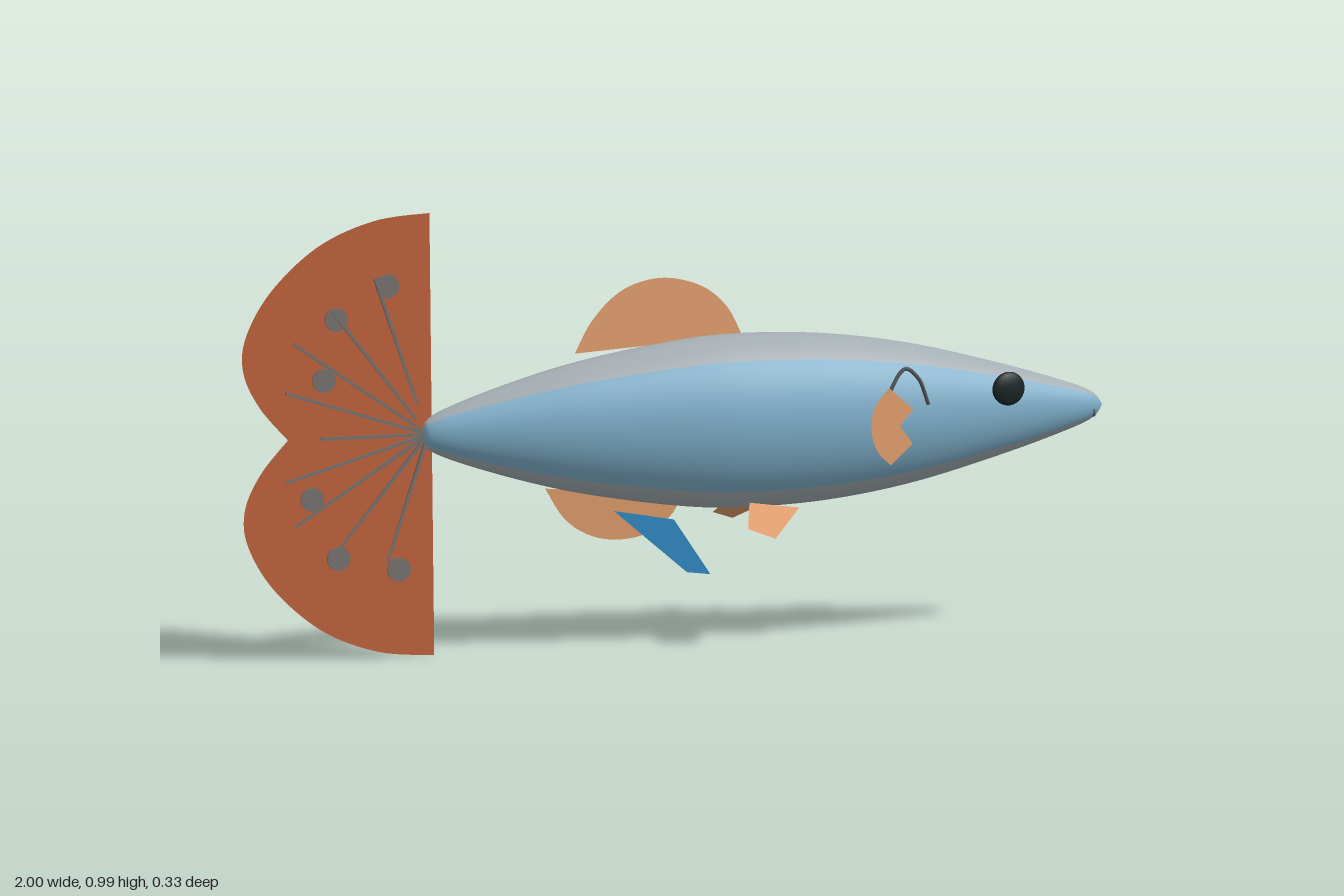
import * as THREE from 'three';

const paint = (name, color, side = THREE.FrontSide) => {
  const m = new THREE.MeshStandardMaterial({ color, side });
  m.name = name;
  return m;
};

export function createModel() {
  const grey = paint('silver grey', 0xa5aeb4);
  const blue = paint('flank blue', 0x7fb0cb);
  const rust = paint('rust', 0xc0603a, THREE.DoubleSide);
  const peach = paint('peach', 0xe09c6a, THREE.DoubleSide);
  const azure = paint('bright blue', 0x2f8ac4, THREE.DoubleSide);
  const black = paint('eye black', 0x1a2424);
  const ash = paint('ash', 0x77736f);
  const dark = paint('dark grey', 0x50565a);

  const fish = new THREE.Group();
  fish.name = 'fish';
  const add = (name, geometry, material, parent = fish) => {
    const mesh = new THREE.Mesh(geometry, material);
    mesh.name = name;
    parent.add(mesh);
    return mesh;
  };

  // Body: elliptical sections along a spindle profile, split into colour panels
  const CY = 0.495, K = 0.74;
  const profile = new THREE.SplineCurve([
    [-0.58, 0], [-0.572, 0.032], [-0.5, 0.066], [-0.35, 0.114], [-0.2, 0.151], [0, 0.184],
    [0.15, 0.195], [0.35, 0.187], [0.55, 0.157], [0.75, 0.106], [0.9, 0.06], [0.975, 0.03], [1, 0],
  ].map(([x, r]) => new THREE.Vector2(x, r)));

  function panel(low, high, steps) {
    const pos = [], nor = [], idx = [], rows = 96;
    for (let i = 0; i <= rows; i++) {
      const p = profile.getPoint(i / rows), t = profile.getTangent(i / rows);
      const r = Math.max(p.y, 0.0005), a0 = low(p.x, r), a1 = high(p.x, r);
      for (let j = 0; j <= steps; j++) {
        const a = a0 + (a1 - a0) * j / steps;
        const y = r * Math.sin(a), z = K * r * Math.cos(a);
        pos.push(p.x, CY + y, z);
        const n = new THREE.Vector3(-r * t.y, y * t.x, z * t.x / (K * K)).normalize();
        nor.push(n.x, n.y, n.z);
        if (i < rows && j < steps) {
          const a = i * (steps + 1) + j, b = a + steps + 1;
          idx.push(a, b, b + 1, a, b + 1, a + 1);
        }
      }
    }
    const g = new THREE.BufferGeometry();
    g.setAttribute('position', new THREE.Float32BufferAttribute(pos, 3));
    g.setAttribute('normal', new THREE.Float32BufferAttribute(nor, 3));
    g.setIndex(idx);
    return g;
  }
  const BAND = 0.85;
  // Edge angle of the oval patch on the far flank
  const patch = (sign) => (x, r) => {
    const e = Math.sqrt(Math.max(0, 1 - ((x - 0.38) / 0.51) ** 2));
    const s = THREE.MathUtils.clamp((-0.01 + sign * 0.11 * e) / r, -0.75, 0.75);
    return Math.PI - Math.asin(s);
  };
  add('frontFlank', panel(() => -BAND, () => BAND, 24), blue);
  add('back', panel(() => BAND, patch(1), 24), grey);
  add('rearFlankPatch', panel(patch(1), patch(-1), 16), blue);
  add('belly', panel(patch(-1), () => 2 * Math.PI - BAND, 24), grey);

  // Fins: flat outlines whose z follows a rule
  const vec = (pts) => pts.map(([x, y]) => new THREE.Vector2(x, y));
  function fin(name, shape, material, zRule) {
    const g = new THREE.ShapeGeometry(shape, 16), p = g.attributes.position;
    for (let i = 0; i < p.count; i++) p.setZ(i, zRule(p.getX(i), p.getY(i)));
    g.computeVertexNormals();
    return add(name, g, material);
  }
  const curved = (pts) => {
    const s = new THREE.Shape();
    s.moveTo(...pts[0]);
    s.splineThru(vec(pts.slice(1)));
    return s;
  };

  // Tail: two lobes, leaning slightly
  const tailZ = (x, y) => -0.037 * (y - CY);
  const lobe = [[-0.56, 0.99], [-0.69, 0.977], [-0.82, 0.925], [-0.93, 0.83], [-0.99, 0.73],
    [-0.997, 0.65], [-0.96, 0.57], [-0.895, CY]];
  const tail = curved(lobe);
  tail.splineThru(vec(lobe.slice(0, -1).reverse().map(([x, y]) => [x, 2 * CY - y])));
  fin('tailFin', tail, rust, tailZ);

  // Tail rays and spots
  const tailMarks = new THREE.Group();
  tailMarks.name = 'tailMarkings';
  fish.add(tailMarks);
  for (const [x, y] of [[-0.69, 0.85], [-0.79, 0.78], [-0.88, 0.71], [-0.9, 0.6], [-0.82, CY],
    [-0.9, 0.4], [-0.88, 0.3], [-0.8, 0.22], [-0.69, 0.14]]) {
    const dx = x + 0.57, dy = y - CY;
    const ray = add('tailRay', new THREE.BoxGeometry(Math.hypot(dx, dy), 0.007, 0.008), ash, tailMarks);
    ray.position.set(-0.57 + dx / 2, CY + dy / 2, tailZ(0, CY + dy / 2));
    ray.rotation.z = Math.atan2(dy, dx);
  }
  for (const [x, y] of [[-0.66, 0.83], [-0.78, 0.76], [-0.81, 0.625], [-0.84, 0.36], [-0.78, 0.225], [-0.64, 0.195]]) {
    const spot = add('tailSpot', new THREE.CylinderGeometry(0.027, 0.027, 0.008, 20), ash, tailMarks);
    spot.position.set(x, y, tailZ(x, y));
    spot.rotation.x = Math.PI / 2;
  }

  // Midline fins
  fin('dorsalFin', curved([[-0.225, 0.66], [-0.18, 0.735], [-0.11, 0.797], [-0.02, 0.82], [0.07, 0.8],
    [0.13, 0.752], [0.165, 0.685]]), peach, (x, y) => -0.008 - 0.08 * (y - 0.66));
  fin('analFin', curved([[-0.295, 0.36], [-0.25, 0.29], [-0.19, 0.25], [-0.12, 0.238], [-0.05, 0.252],
    [0, 0.29], [0.02, 0.33]]), peach, () => -0.004);
  fin('blueFin', new THREE.Shape(vec([[-0.14, 0.305], [0.03, 0.16], [0.085, 0.153], [0, 0.28]])),
    azure, () => 0.012);

  // Paired parts
  for (const s of [1, -1]) {
    const side = s > 0 ? 'front' : 'rear';

    // Pectoral fin with a swept notch
    const pectoral = curved([[0.46, 0.575], [0.425, 0.535], [0.415, 0.485], [0.43, 0.435], [0.465, 0.4]]);
    pectoral.lineTo(0.52, 0.445);
    pectoral.lineTo(0.488, 0.487);
    pectoral.lineTo(0.522, 0.522);
    fin(side + 'PectoralFin', pectoral, peach, (x) => s * (0.155 - 0.28 * (x - 0.425)));

    // Splayed ventral fin
    fin(side + 'VentralFin', new THREE.Shape(vec([[0.16, 0.318], [0.135, 0.27], [0.19, 0.25], [0.27, 0.305]])),
      peach, (x, y) => s * (0.165 - 1.5 * (y - 0.25)));

    // Gill arch
    const arch = new THREE.CatmullRomCurve3([[0.45, 0.5, 0.132], [0.468, 0.565, 0.13], [0.505, 0.613, 0.122],
      [0.535, 0.59, 0.123], [0.56, 0.53, 0.118]].map(([x, y, z]) => new THREE.Vector3(x, y, s * z)));
    add(side + 'GillArch', new THREE.TubeGeometry(arch, 32, 0.0045, 8), dark);

    // Eye
    const eye = add(side + 'Eye', new THREE.SphereGeometry(1, 28, 18), black);
    eye.scale.set(0.04, s > 0 ? 0.038 : 0.044, s > 0 ? 0.014 : 0.02);
    eye.position.set(0.76, s > 0 ? 0.55 : 0.545, s > 0 ? 0.073 : -0.085);
    eye.rotation.y = s * 0.2;

    // Nostril
    const nostril = add(side + 'Nostril', new THREE.TorusGeometry(0.007, 0.0025, 8, 16), dark);
    nostril.position.set(0.975, 0.479, s * 0.018);
    nostril.rotation.y = Math.PI / 2;
  }
  return fish;
}
